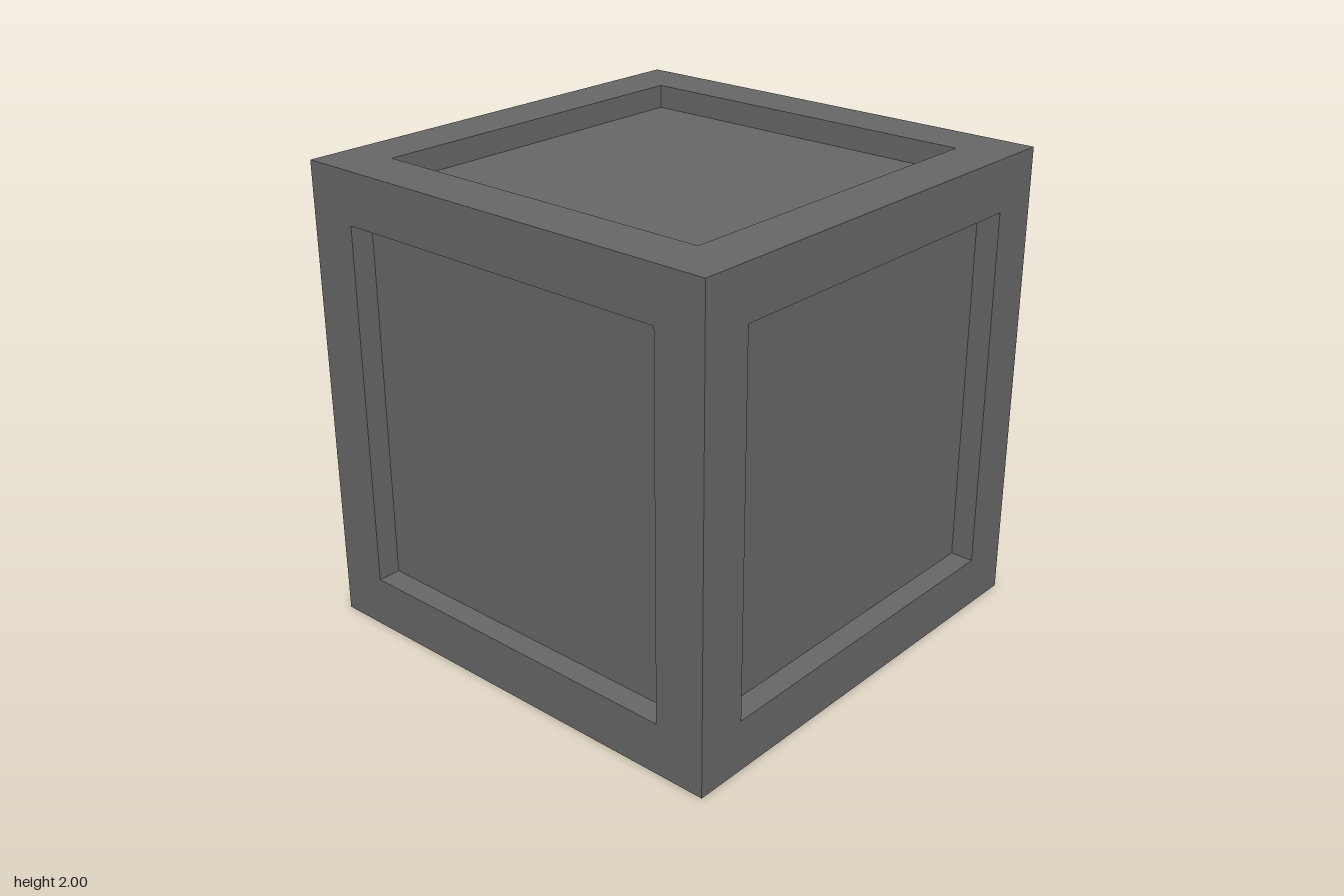
import * as THREE from 'three';

const HALF = 1;       // half the cube's side
const INNER = 0.78;   // half the recessed panel's side
const DEPTH = 0.1;    // how far the panels sit back

// Four-sided lathe: a square ring or plate facing +y, given [half side, height] points
function squareLathe(points) {
  const profile = points.map(([r, y]) => new THREE.Vector2(r * Math.SQRT2, y));
  const geometry = new THREE.LatheGeometry(profile, 4, Math.PI / 4).toNonIndexed();
  geometry.computeVertexNormals();
  return geometry;
}

export function createModel() {
  const model = new THREE.Group();
  model.name = 'crate';

  const darkGrey = new THREE.MeshStandardMaterial({ color: 0x666666 });
  darkGrey.name = 'darkGrey';

  // Rim with its inner reveal walls, and the sunken panel
  const frameGeometry = squareLathe([[HALF, HALF], [INNER, HALF], [INNER, HALF - DEPTH]]);
  const panelGeometry = new THREE.PlaneGeometry(2 * INNER, 2 * INNER);
  panelGeometry.rotateX(-Math.PI / 2).translate(0, HALF - DEPTH, 0);

  // The same side repeated on all six faces of the cube
  const q = Math.PI / 2;
  const sides = {
    top: [0, 0, 0],
    bottom: [Math.PI, 0, 0],
    front: [q, 0, 0],
    back: [-q, 0, 0],
    left: [0, 0, -q],
    right: [0, 0, q],
  };
  for (const [name, rotation] of Object.entries(sides)) {
    const side = new THREE.Group();
    side.name = `${name}Side`;
    const frame = new THREE.Mesh(frameGeometry, darkGrey);
    frame.name = `${name}Frame`;
    const panel = new THREE.Mesh(panelGeometry, darkGrey);
    panel.name = `${name}Panel`;
    side.add(frame, panel);
    side.rotation.set(...rotation);
    side.position.y = HALF;
    model.add(side);
  }
  return model;
}
